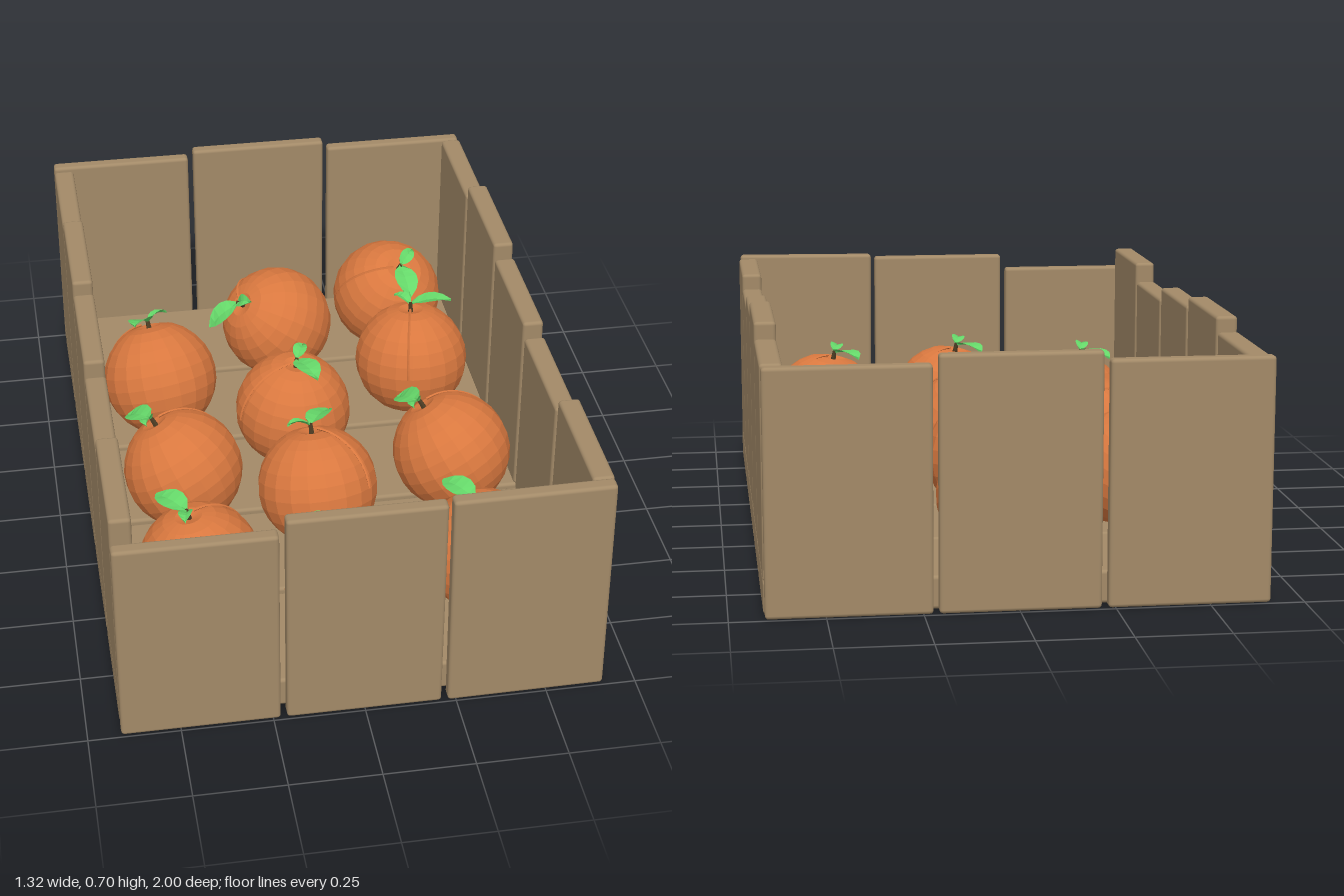
import * as THREE from 'three';
import { RoundedBoxGeometry } from 'three/addons/geometries/RoundedBoxGeometry.js';

const material = (color, extra = {}) => new THREE.MeshStandardMaterial({ color, ...extra });
const wood = material(0xa38a68);
const peel = material(0xd9783f, { flatShading: true });
const stemMat = material(0x4a3a22, { flatShading: true });
const leafMat = material(0x66d96a, { flatShading: true, side: THREE.DoubleSide });

const RADIUS = 0.174;

function add(parent, name, geometry, mat) {
  const mesh = new THREE.Mesh(geometry, mat);
  mesh.name = name;
  parent.add(mesh);
  return mesh;
}

// Plank given by its lower and upper corners, with softened edges
function plank(parent, name, lo, hi, tilt = 0) {
  const [w, h, d] = hi.map((v, i) => v - lo[i]);
  const mesh = add(parent, name, new RoundedBoxGeometry(w, h, d, 2, 0.01), wood);
  mesh.position.set(...hi.map((v, i) => (v + lo[i]) / 2));
  mesh.rotation.z = tilt;
}

// Slightly arched leaf growing along +x, widest past its middle
function leafGeometry(length, width) {
  const geo = new THREE.PlaneGeometry(1, 1, 5, 2);
  const p = geo.attributes.position;
  for (let i = 0; i < p.count; i++) {
    const t = p.getX(i) + 0.5, s = p.getY(i) * 2;
    const half = (width / 2) * (0.06 + 0.94 * Math.pow(Math.sin(Math.PI * Math.pow(t, 0.9)), 0.75));
    p.setXYZ(i, t * length, 0.02 * Math.sin(t * 2.6) + 0.008 * Math.abs(s), -s * half);
  }
  geo.computeVertexNormals();
  return geo;
}

// Faceted round body with a dimple at the top
function bodyGeometry() {
  const geo = new THREE.SphereGeometry(RADIUS, 20, 14);
  const p = geo.attributes.position;
  for (let i = 0; i < p.count; i++) {
    const r = Math.hypot(p.getX(i), p.getZ(i)) / RADIUS;
    if (p.getY(i) > 0) p.setY(i, p.getY(i) - 0.02 * Math.exp(-r * r * 30));
  }
  geo.computeVertexNormals();
  return geo;
}

const bodyGeo = bodyGeometry();
const seamGeo = new THREE.TorusGeometry(RADIUS - 0.001, 0.004, 4, 16, 1.45);
const stemGeo = new THREE.CylinderGeometry(0.006, 0.009, 0.035, 6);
const bigLeafGeo = leafGeometry(0.125, 0.075);
const smallLeafGeo = leafGeometry(0.07, 0.042);

// One fruit: position, lean of its top (dx, dz), heading of the big leaf in degrees
function fruit(x, z, dx, dz, heading) {
  const group = new THREE.Group();
  group.name = 'orange';
  add(group, 'fruitBody', bodyGeo, peel);
  add(group, 'peelSeam', seamGeo, peel).rotation.y = THREE.MathUtils.degToRad(-95);
  add(group, 'stem', stemGeo, stemMat).position.y = RADIUS - 0.005;
  const big = add(group, 'bigLeaf', bigLeafGeo, leafMat);
  const small = add(group, 'smallLeaf', smallLeafGeo, leafMat);
  big.position.y = small.position.y = RADIUS + 0.004;
  small.rotation.y = THREE.MathUtils.degToRad(135);

  const up = new THREE.Vector3(0, 1, 0);
  const top = new THREE.Vector3(dx, Math.sqrt(RADIUS ** 2 - dx * dx - dz * dz), dz).normalize();
  const yaw = new THREE.Quaternion().setFromAxisAngle(up, -THREE.MathUtils.degToRad(heading));
  group.quaternion.setFromUnitVectors(up, top).multiply(yaw);
  group.position.set(x, 0.222, z);
  return group;
}

export function createModel() {
  const model = new THREE.Group();
  model.name = 'crateOfOranges';
  const crate = new THREE.Group();
  crate.name = 'crate';
  model.add(crate);

  // Five floor boards, each carrying a side plank at both ends: z start, z end, right top, left top
  const rows = [
    [0.575, 0.945, 0.68, 0.665],
    [0.195, 0.56, 0.622, 0.622],
    [-0.185, 0.18, 0.66, 0.66],
    [-0.565, -0.2, 0.69, 0.7],
    [-0.953, -0.58, 0.65, 0.657],
  ];
  for (const [z0, z1, rightTop, leftTop] of rows) {
    plank(crate, 'floorBoard', [-0.66, 0.003, z0], [0.66, 0.092, z1]);
    plank(crate, 'rightSidePlank', [-0.66, 0.09, z0], [-0.6, rightTop, z1]);
    plank(crate, 'leftSidePlank', [0.6, 0.09, z0], [0.66, leftTop, z1]);
  }

  // Three planks on each end: x start, x end, front top, back top, front tilt
  const ends = [
    [-0.66, -0.23, 0.617, 0.657, 0],
    [-0.213, 0.21, 0.662, 0.68, 0],
    [0.225, 0.657, 0.672, 0.655, 0.008],
  ];
  for (const [x0, x1, frontTop, backTop, tilt] of ends) {
    plank(crate, 'frontPlank', [x0, 0.003, 0.955], [x1, frontTop, 0.997], tilt);
    plank(crate, 'backPlank', [x0, 0.003, -1], [x1, backTop, -0.96]);
  }

  // Oranges: x, z, lean x, lean z, leaf heading
  const oranges = [
    [0.385, -0.74, 0.025, 0.085, 83],
    [0.005, -0.63, -0.125, 0.05, 175],
    [-0.4, -0.365, -0.025, -0.07, 110],
    [0.39, -0.355, 0, -0.025, 9],
    [-0.02, -0.135, 0.01, 0.01, 69],
    [-0.385, 0.12, -0.08, -0.045, -124],
    [0.41, 0.155, -0.085, -0.055, -117],
    [-0.01, 0.265, -0.01, -0.06, -56],
    [-0.39, 0.575, -0.03, -0.01, -127],
    [-0.005, 0.74, -0.03, -0.01, -124],
    [0.4, 0.64, -0.03, -0.005, -124],
  ];
  for (const o of oranges) model.add(fruit(...o));

  return model;
}
